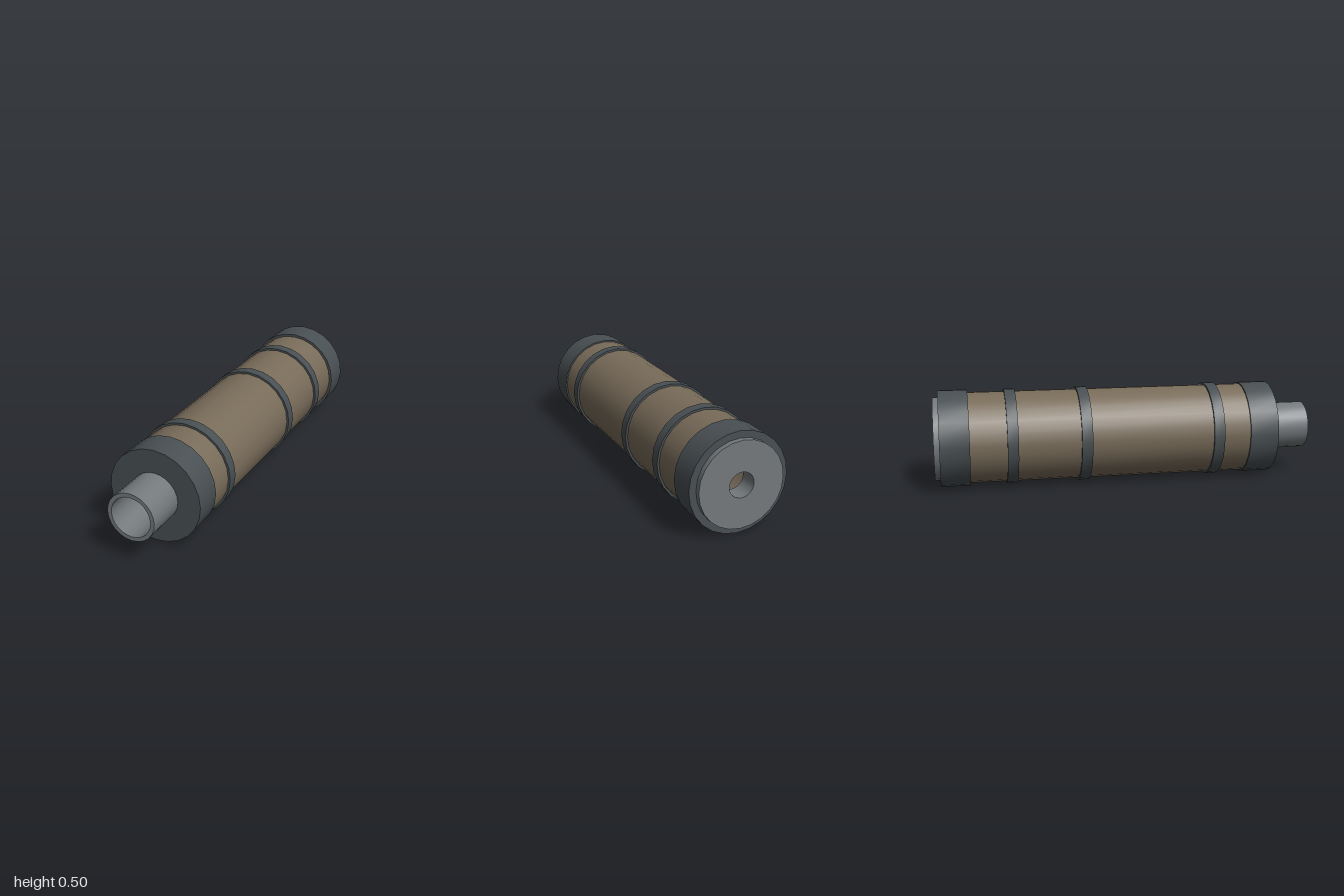
import * as THREE from 'three';
import { toCreasedNormals } from 'three/addons/utils/BufferGeometryUtils.js';

const SIDES = 24;
const AXIS_Y = 0.251;

const darkMetal = new THREE.MeshStandardMaterial({ color: 0x484f52 });
const steel = new THREE.MeshStandardMaterial({ color: 0x74797c });
const bronze = new THREE.MeshStandardMaterial({ color: 0x786b59 });

// Hollow cylinder around the z axis, between two depths and two radii
function sleeve(name, z0, z1, inner, outer, material) {
  const profile = [[inner, z0], [outer, z0], [outer, z1], [inner, z1], [inner, z0]]
    .map(([r, z]) => new THREE.Vector2(r, z));
  const geometry = toCreasedNormals(new THREE.LatheGeometry(profile, SIDES), Math.PI / 6);
  geometry.rotateX(Math.PI / 2);
  const mesh = new THREE.Mesh(geometry, material);
  mesh.name = name;
  mesh.position.y = AXIS_Y;
  return mesh;
}

export function createModel() {
  const model = new THREE.Group();
  model.name = 'cylinderAssembly';

  // Main tube
  model.add(sleeve('bodyTube', -0.83, 0.65, 0.215, 0.237, bronze));

  // Raised bands along the tube
  [0.467, -0.23, -0.607].forEach((z, i) => {
    model.add(sleeve(`band${i + 1}`, z - 0.028, z + 0.028, 0.22, 0.248, darkMetal));
  });

  // Front collar with its bore, and the mounting neck
  model.add(sleeve('frontCollar', 0.637, 0.79, 0.063, 0.245, darkMetal));
  model.add(sleeve('neck', 0.789, 1, 0.104, 0.125, steel));

  // Rear collar and the protruding end cap with its bore
  model.add(sleeve('rearCollar', -0.972, -0.822, 0.21, 0.251, darkMetal));
  model.add(sleeve('endCap', -1, -0.9, 0.063, 0.216, steel));

  return model;
}
